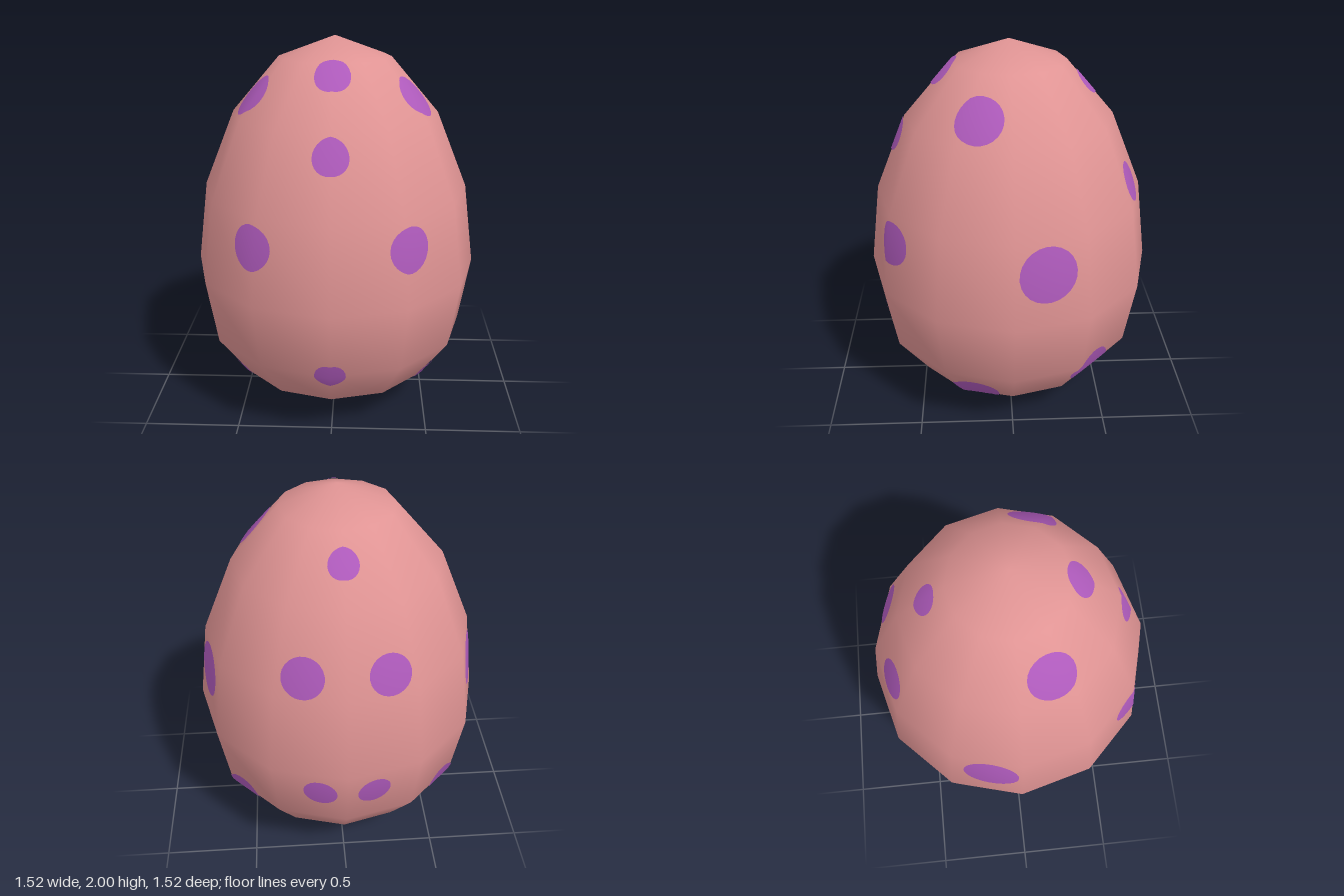
import * as THREE from 'three';

const SIDES = 12;
const MID_Y = 1;
// Egg profile from bottom to top: [radius, height]
const PROFILE = [[0, 0], [0.29, 0.05], [0.537, 0.2], [0.702, 0.43], [0.76, 0.78],
  [0.702, 1.21], [0.537, 1.61], [0.29, 1.895], [0, 2]];
const LAST = PROFILE.length - 1;

// Outward slope of each profile band, and the smoothed slope at each ring
const bandTilt = PROFILE.slice(1).map(([r, y], i) => Math.atan2(PROFILE[i][0] - r, y - PROFILE[i][1]));
const ringTilt = PROFILE.map((_, i) => {
  if (i === 0) return -Math.PI / 2;
  if (i === LAST) return Math.PI / 2;
  return (bandTilt[i - 1] + bandTilt[i]) / 2;
});

function normalAt(tilt, phi) {
  return new THREE.Vector3(Math.cos(tilt) * Math.sin(phi), Math.sin(tilt), Math.cos(tilt) * Math.cos(phi));
}

// Flat facets of the shell as planes measured from the egg's middle
const facets = [];
const apothem = Math.cos(Math.PI / SIDES);
for (let i = 0; i < LAST; i++) {
  const a0 = PROFILE[i][0] * apothem, a1 = PROFILE[i + 1][0] * apothem;
  const tilt = Math.atan2(a0 - a1, PROFILE[i + 1][1] - PROFILE[i][1]);
  const dist = Math.cos(tilt) * a0 + Math.sin(tilt) * (PROFILE[i][1] - MID_Y);
  for (let k = 0; k < SIDES; k++) {
    facets.push({ normal: normalAt(tilt, (k + 0.5) * 2 * Math.PI / SIDES), dist, band: i });
  }
}

// Push a point out from the middle onto the faceted shell
function projectToShell(point, lift = 0) {
  const dir = point.clone().setY(point.y - MID_Y).normalize();
  let t = Infinity, band = 0;
  for (const f of facets) {
    const facing = f.normal.dot(dir);
    if (facing > 1e-6 && f.dist / facing < t) {
      t = f.dist / facing;
      band = f.band;
    }
  }
  const y = MID_Y + dir.y * t;
  const s = (y - PROFILE[band][1]) / (PROFILE[band + 1][1] - PROFILE[band][1]);
  const normal = normalAt(THREE.MathUtils.lerp(ringTilt[band], ringTilt[band + 1], s), Math.atan2(dir.x, dir.z));
  const position = dir.multiplyScalar(t + lift);
  position.y += MID_Y;
  return { position, normal };
}

function makeShell(material) {
  const geo = new THREE.LatheGeometry(PROFILE.map(([r, y]) => new THREE.Vector2(r, y)), SIDES);
  const n = geo.attributes.normal;
  for (let v = 0; v < n.count; v++) {
    const column = Math.floor(v / PROFILE.length);
    const d = normalAt(ringTilt[v % PROFILE.length], column * 2 * Math.PI / SIDES);
    n.setXYZ(v, d.x, d.y, d.z);
  }
  const mesh = new THREE.Mesh(geo, material);
  mesh.name = 'eggShell';
  return mesh;
}

// Round painted spot that follows the facets
function makeSpot(x, y, z, radius, material) {
  const center = projectToShell(new THREE.Vector3(x, y, z));
  const turn = new THREE.Quaternion().setFromUnitVectors(new THREE.Vector3(0, 0, 1), center.normal);
  const geo = new THREE.RingGeometry(0, radius, 24, 6);
  const p = geo.attributes.position, n = geo.attributes.normal;
  const v = new THREE.Vector3();
  for (let i = 0; i < p.count; i++) {
    v.fromBufferAttribute(p, i).applyQuaternion(turn).add(center.position);
    const hit = projectToShell(v, 0.005);
    p.setXYZ(i, hit.position.x, hit.position.y, hit.position.z);
    n.setXYZ(i, hit.normal.x, hit.normal.y, hit.normal.z);
  }
  const mesh = new THREE.Mesh(geo, material);
  mesh.name = 'spot';
  return mesh;
}

export function createModel() {
  const pink = new THREE.MeshStandardMaterial({ color: 0xe09494 });
  pink.name = 'shellPink';
  const purple = new THREE.MeshStandardMaterial({ color: 0xae5abb });
  purple.name = 'spotPurple';

  const egg = new THREE.Group();
  egg.name = 'spottedEgg';
  egg.add(makeShell(pink));

  const spots = new THREE.Group();
  spots.name = 'spots';
  // Spots on the centre line: y, z, radius
  const centreSpots = [[1.85, 0.33, 0.09], [1.51, 0.575, 0.09], [0.42, 0.69, 0.08],
    [0.058, 0.28, 0.1], [1.78, -0.39, 0.075], [0.155, -0.465, 0.067]];
  for (const [y, z, r] of centreSpots) spots.add(makeSpot(0, y, z, r, purple));

  // Mirrored spots: x, y, z, radius
  const pairedSpots = [[0.385, 1.07, 0.6, 0.115], [0.405, 1.715, 0.155, 0.122], [0.52, 0.232, 0.2, 0.13],
    [0.7, 1.05, -0.165, 0.145], [0.53, 0.38, -0.41, 0.122], [0.205, 1.31, -0.61, 0.105],
    [0.14, 0.64, -0.715, 0.087]];
  for (const [x, y, z, r] of pairedSpots) {
    for (const side of [1, -1]) spots.add(makeSpot(side * x, y, z, r, purple));
  }
  egg.add(spots);
  return egg;
}
